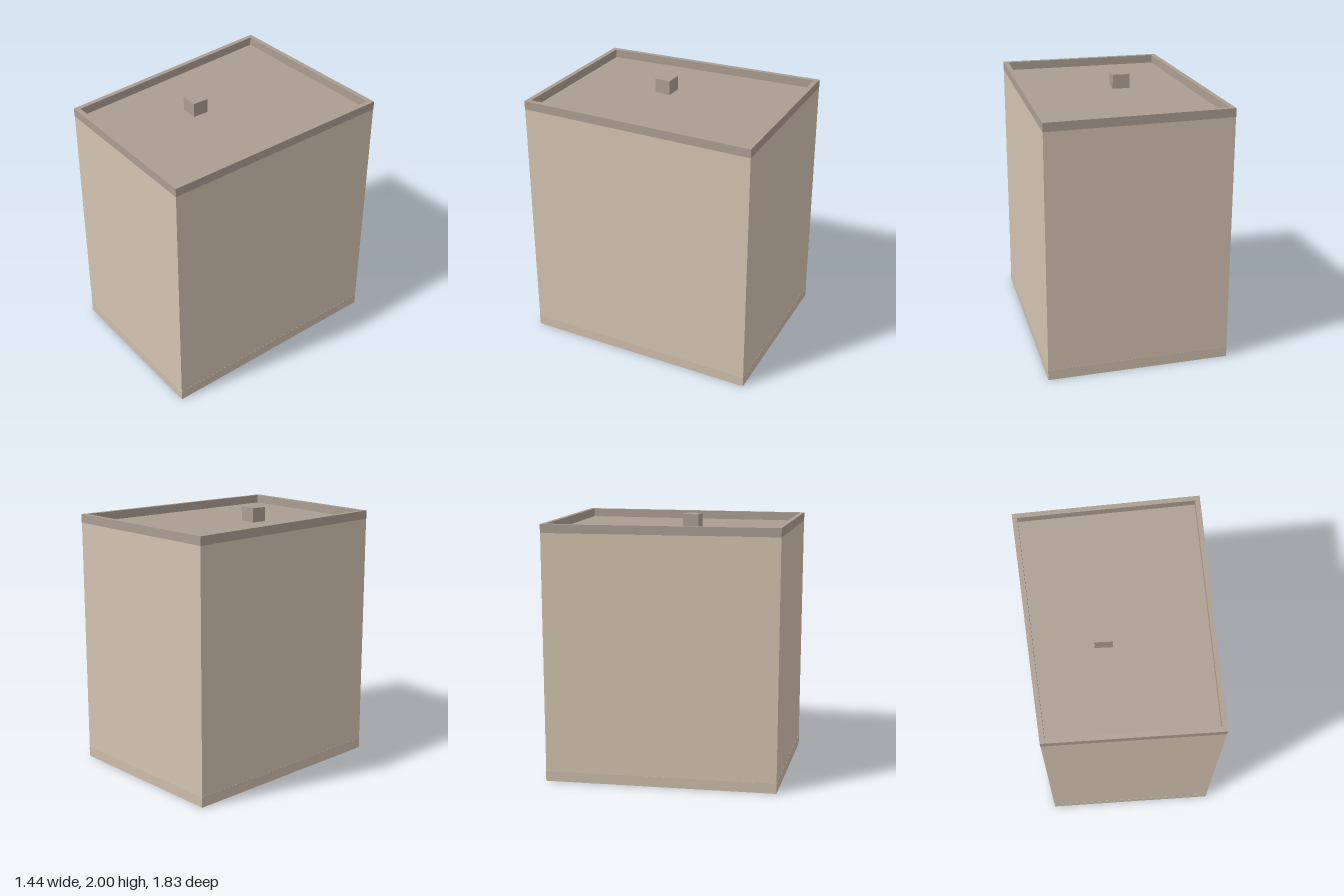
import * as THREE from 'three';

const mat = (color, side = THREE.FrontSide) => new THREE.MeshStandardMaterial({ color, side });

// Footprint corners as [x, -z], counter-clockwise from above
const FOOT = [[-0.56, -0.91], [0.715, -0.887], [0.66, 0.915], [-0.718, 0.833], [-0.577, -0.73]];
const EAVES = 1.89, TOP = 1.955, FLOORS = 6, STOREY = 0.302, BAY = 0.315;

// Inward unit normal of the edge from a to b
function inward(a, b) {
  return new THREE.Vector2(a[1] - b[1], b[0] - a[0]).normalize();
}

// Footprint moved inwards by d, with mitred corners
function inset(d) {
  const n = FOOT.length;
  return FOOT.map((p, i) => {
    const n1 = inward(FOOT[(i + n - 1) % n], p), n2 = inward(p, FOOT[(i + 1) % n]);
    const m = n1.clone().add(n2).multiplyScalar(d / (1 + n1.dot(n2)));
    return new THREE.Vector2(p[0] + m.x, p[1] + m.y);
  });
}

// Upright band following the footprint between two insets
function band(name, outer, inner, y, height, material) {
  const shape = new THREE.Shape(inset(outer));
  shape.holes.push(new THREE.Path(inset(inner).reverse()));
  const geo = new THREE.ExtrudeGeometry(shape, { depth: height, bevelEnabled: false });
  const mesh = new THREE.Mesh(geo.rotateX(-Math.PI / 2), material);
  mesh.name = name;
  mesh.position.y = y;
  return mesh;
}

export function createModel() {
  const model = new THREE.Group();
  model.name = 'building';
  const wallMat = mat(0xd4c4b1, THREE.DoubleSide), plinthMat = mat(0xcdbeac);
  const trimMat = mat(0xab9e92), roofMat = mat(0xab9e92, THREE.DoubleSide);
  const frameMat = mat(0x6e655d), paneMat = mat(0x3f474d);
  const slabMat = mat(0x8a8178), railMat = mat(0x8496a0);

  const add = (parent, name, w, h, d, x, y, z, material) => {
    const mesh = new THREE.Mesh(new THREE.BoxGeometry(w, h, d), material);
    mesh.name = name;
    mesh.position.set(x, y, z);
    parent.add(mesh);
  };

  // Window facing into the courtyard shell: frame bars around a dark pane
  function addWindow(wall, x, y) {
    const g = new THREE.Group();
    g.name = 'window';
    g.position.set(x, y, 0);
    add(g, 'pane', 0.12, 0.17, 0.006, 0, 0, 0.004, paneMat);
    for (const s of [-1, 1]) {
      add(g, 'frameSide', 0.01, 0.18, 0.014, s * 0.062, 0, 0.008, frameMat);
      add(g, 'frameRail', 0.134, 0.01, 0.014, 0, s * 0.087, 0.008, frameMat);
    }
    wall.add(g);
  }

  // Balcony: slab, front rail panel and two side panels
  function addBalcony(wall, x, y) {
    const g = new THREE.Group();
    g.name = 'balcony';
    g.position.set(x, y, 0);
    add(g, 'slab', 0.19, 0.016, 0.085, 0, 0, 0.0435, slabMat);
    add(g, 'frontRail', 0.18, 0.09, 0.005, 0, 0.053, 0.08, railMat);
    for (const s of [-1, 1]) add(g, 'sideRail', 0.005, 0.09, 0.076, s * 0.088, 0.053, 0.04, railMat);
    wall.add(g);
  }

  // Walls, each in a local frame whose +z points inwards
  FOOT.forEach((a, i) => {
    const b = FOOT[(i + 1) % FOOT.length];
    const n = inward(a, b);
    const length = Math.hypot(b[0] - a[0], b[1] - a[1]);
    const wall = new THREE.Group();
    wall.name = 'wall';
    wall.position.set((a[0] + b[0]) / 2, 0, -(a[1] + b[1]) / 2);
    wall.rotation.y = Math.atan2(n.x, -n.y);
    const face = new THREE.Mesh(new THREE.PlaneGeometry(length, EAVES), wallMat);
    face.name = 'wallFace';
    face.position.y = EAVES / 2;
    wall.add(face);

    const bays = length < BAY ? 0 : Math.round(length / BAY);
    for (let c = 0; c < bays; c++) {
      const x = ((c + 0.5) / bays - 0.5) * length;
      add(wall, 'basementVent', 0.12, 0.014, 0.006, x, 0.04, 0.016, frameMat);
      for (let f = 0; f < FLOORS; f++) {
        addWindow(wall, x, 0.175 + f * STOREY);
        if (f > 0) addBalcony(wall, x, 0.045 + f * STOREY);
      }
    }
    model.add(wall);
  });

  // Plinth and parapet
  model.add(band('plinth', -0.001, 0.016, 0, 0.08, plinthMat));
  model.add(band('parapet', -0.001, 0.035, EAVES, TOP - EAVES, trimMat));

  // Flat roof
  const roof = new THREE.Mesh(new THREE.ShapeGeometry(new THREE.Shape(inset(0))), roofMat);
  roof.name = 'roof';
  roof.rotation.x = -Math.PI / 2;
  roof.position.y = EAVES + 0.001;
  model.add(roof);

  // Chimney
  add(model, 'chimney', 0.13, 2 - EAVES, 0.12, -0.097, (2 + EAVES) / 2, 0.155, trimMat);
  return model;
}
